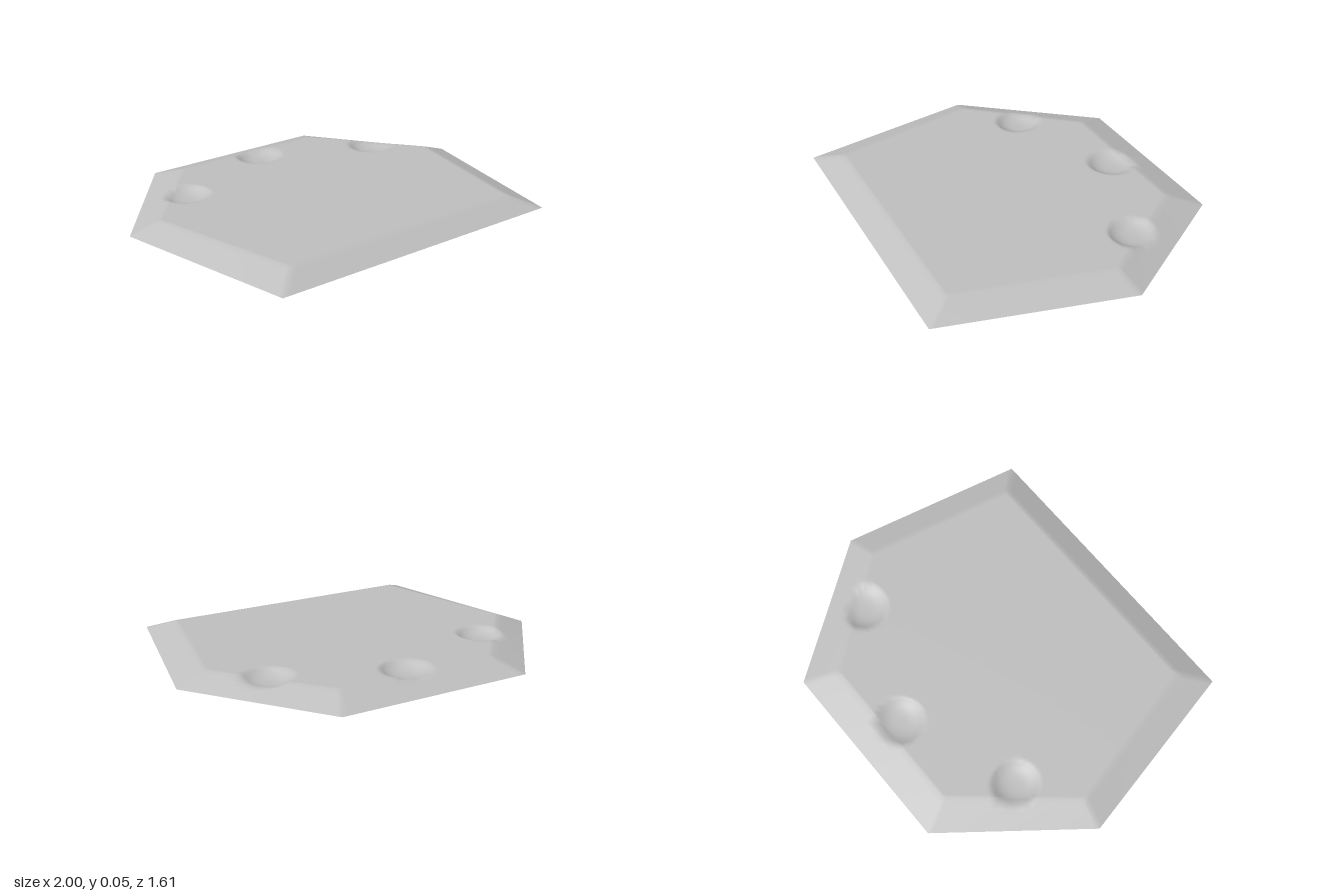
import * as THREE from 'three';

const HEIGHT = 0.055;
// Ground outline and the plateau outline above it, as [x, z] corners
const BASE = [[-0.49, -0.795], [0.515, -0.805], [1, -0.14], [0.79, 0.8], [-0.8, 0.8], [-1, -0.14]];
const PLATEAU = [[-0.41, -0.635], [0.43, -0.64], [0.845, -0.11], [0.675, 0.67], [-0.665, 0.67], [-0.855, -0.11]];
// Round dents: x, z, radius
const DENTS = [[0.03, -0.56, 0.125], [-0.58, -0.32, 0.12], [0.63, -0.325, 0.125]];
const DENT_DEPTH = 0.035;

const EDGE_STEPS = 40;
const TOP_RINGS = 50;
const RIM_RINGS = 6;

// Point on a closed polygon, step j around it
function outlinePoint(corners, j) {
  const k = Math.floor(j / EDGE_STEPS);
  const t = (j % EDGE_STEPS) / EDGE_STEPS;
  const a = corners[k];
  const b = corners[(k + 1) % corners.length];
  return [a[0] + (b[0] - a[0]) * t, a[1] + (b[1] - a[1]) * t];
}

// Lower the surface wherever a dent is deeper than it
function dentedHeight(x, z, y) {
  for (const [cx, cz, r] of DENTS) {
    const d = Math.hypot(x - cx, z - cz) / r;
    if (d < 1) y = Math.min(y, HEIGHT - DENT_DEPTH * (1 - d ** 3));
  }
  return y;
}

// Open shell of rings: centre to plateau edge, then down the sloping rim
function shellGeometry() {
  const positions = [];
  const indices = [];
  const around = BASE.length * EDGE_STEPS;
  const rings = TOP_RINGS + RIM_RINGS;
  for (let i = 0; i <= rings; i++) {
    const s = Math.min(i / TOP_RINGS, 1);
    const t = Math.max((i - TOP_RINGS) / RIM_RINGS, 0);
    for (let j = 0; j < around; j++) {
      const p = outlinePoint(PLATEAU, j);
      const q = outlinePoint(BASE, j);
      const x = (p[0] + (q[0] - p[0]) * t) * s;
      const z = (p[1] + (q[1] - p[1]) * t) * s;
      positions.push(x, dentedHeight(x, z, HEIGHT * (1 - t)), z);
      if (i < rings) {
        const next = (j + 1) % around;
        const a = i * around + j, a2 = i * around + next;
        const b = a + around, b2 = a2 + around;
        indices.push(a, b2, b);
        if (i > 0) indices.push(a, a2, b2);
      }
    }
  }
  const geometry = new THREE.BufferGeometry();
  geometry.setAttribute('position', new THREE.Float32BufferAttribute(positions, 3));
  geometry.setIndex(indices);
  geometry.computeVertexNormals();
  return geometry;
}

export function createModel() {
  const group = new THREE.Group();
  group.name = 'dentedSlab';
  const grey = new THREE.MeshStandardMaterial({ color: 0xc0c0c0, side: THREE.DoubleSide });
  grey.name = 'plain grey';
  const shell = new THREE.Mesh(shellGeometry(), grey);
  shell.name = 'hexagonalShell';
  group.add(shell);
  return group;
}
